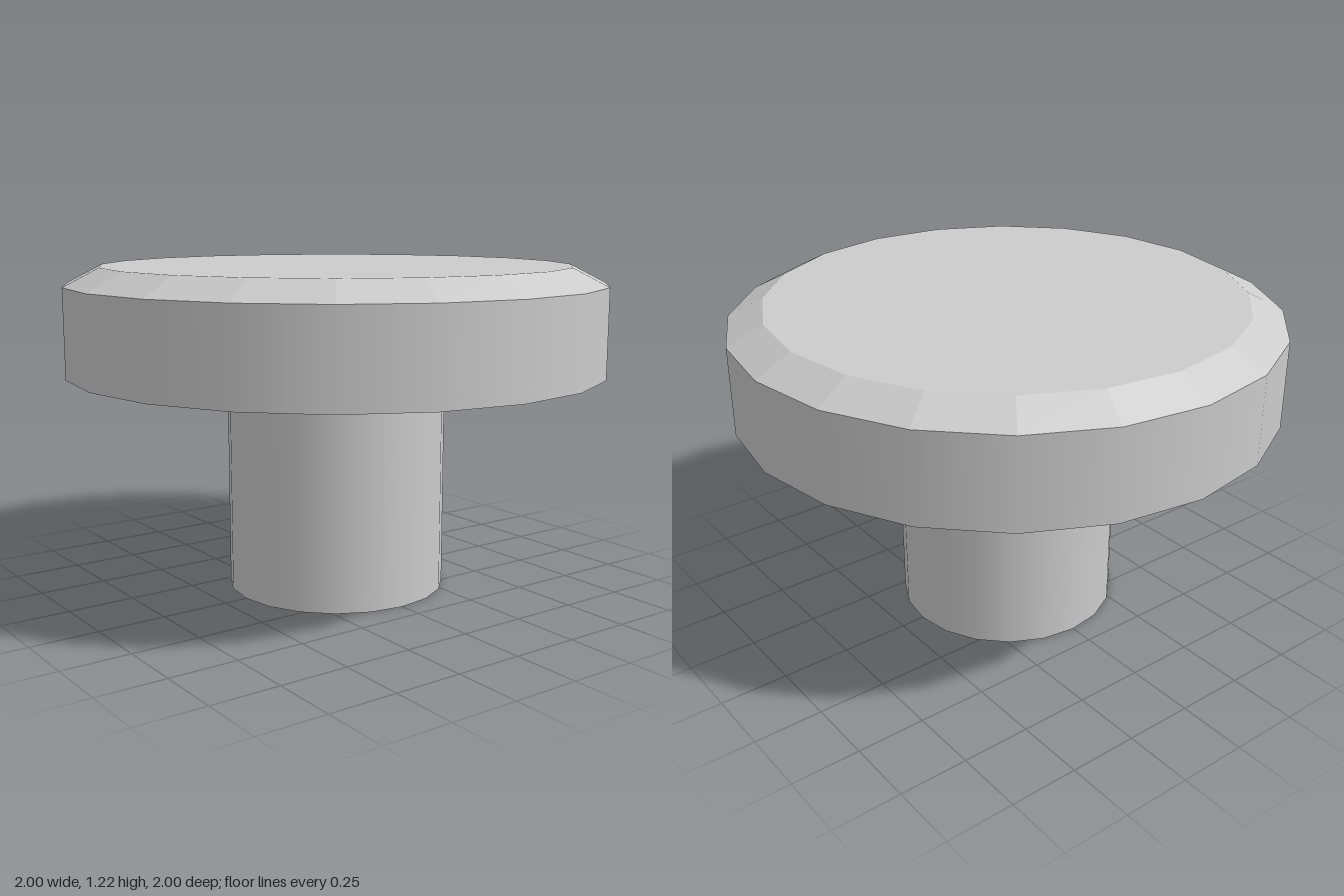
import * as THREE from 'three';

const SIDES = 20;
const smooth = new THREE.MeshStandardMaterial({ color: 0xcccccc });
const faceted = new THREE.MeshStandardMaterial({ color: 0xcccccc, flatShading: true });

// A round section between two heights
function section(name, rTop, rBottom, y0, y1, material, open = false) {
  const geometry = new THREE.CylinderGeometry(rTop, rBottom, y1 - y0, SIDES, 1, open);
  geometry.translate(0, (y0 + y1) / 2, 0);
  const mesh = new THREE.Mesh(geometry, material);
  mesh.name = name;
  return mesh;
}

// Flat disc facing up or down
function disc(name, radius, y, up) {
  const geometry = new THREE.CircleGeometry(radius, SIDES);
  geometry.rotateX(up ? -Math.PI / 2 : Math.PI / 2);
  geometry.translate(0, y, 0);
  const mesh = new THREE.Mesh(geometry, smooth);
  mesh.name = name;
  return mesh;
}

export function createModel() {
  const model = new THREE.Group();
  model.name = 'knob';

  // Plain stem standing on the ground
  model.add(section('stem', 0.41, 0.41, 0, 0.825, smooth));

  // Wide head: smooth rim, faceted bevel, flat top and underside
  const head = new THREE.Group();
  head.name = 'head';
  head.add(
    section('rim', 1, 1, 0.825, 1.15, smooth, true),
    section('bevel', 0.87, 1, 1.15, 1.217, faceted, true),
    disc('topFace', 0.87, 1.217, true),
    disc('underside', 1, 0.825, false)
  );
  model.add(head);

  return model;
}
